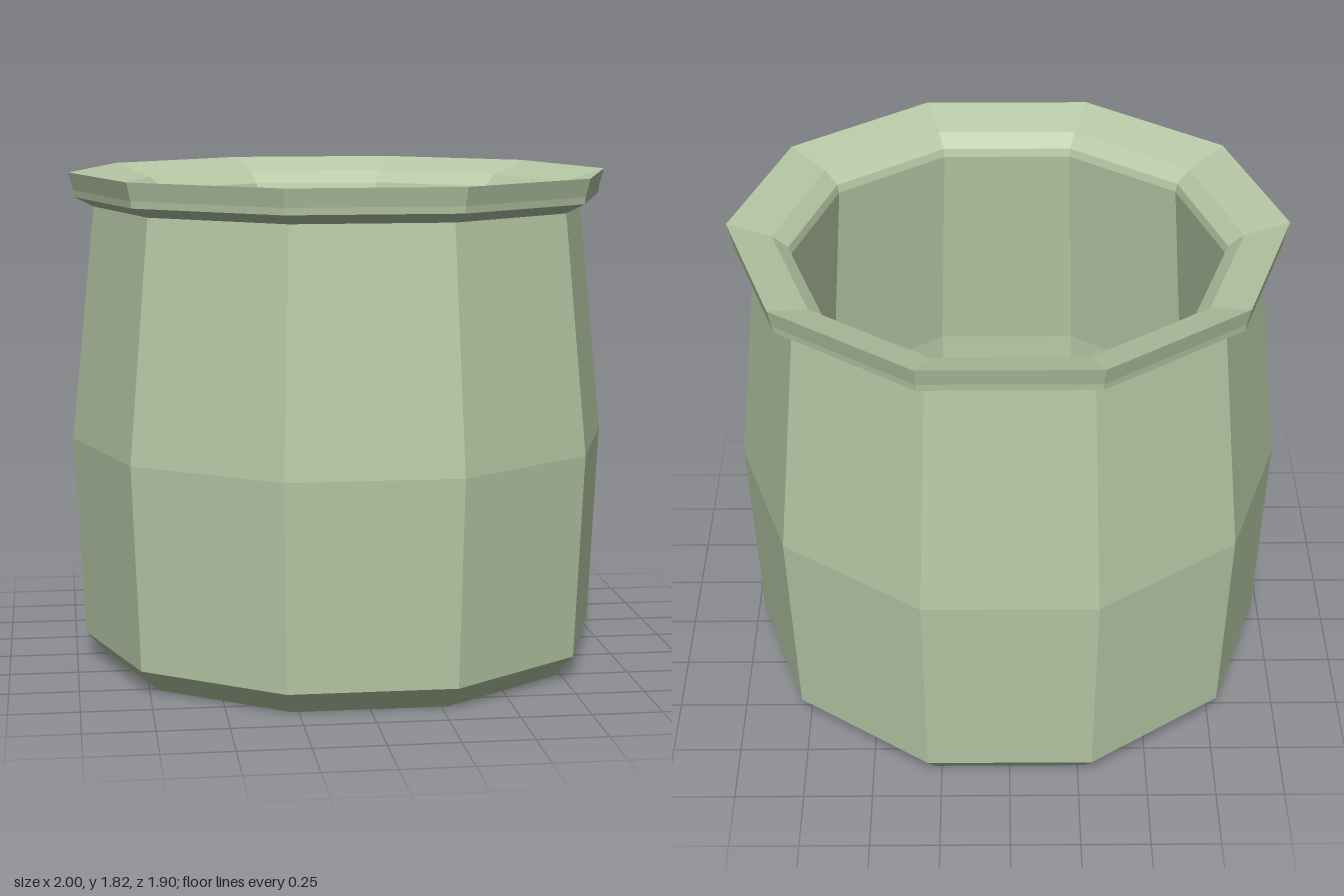
import * as THREE from 'three';

const SIDES = 10;

// Ten-sided faceted ring turned from a [radius, height] profile, with corners on the x axis.
function turned(name, profile, material) {
  const points = profile.map(([r, y]) => new THREE.Vector2(r, y));
  const mesh = new THREE.Mesh(new THREE.LatheGeometry(points, SIDES, Math.PI / 2), material);
  mesh.name = name;
  return mesh;
}

export function createModel() {
  const group = new THREE.Group();
  group.name = 'pot';
  const glaze = new THREE.MeshStandardMaterial({ color: 0xb6c8a5, flatShading: true });

  // Closed base, bevelled foot and bulging outer wall
  group.add(turned('body', [[0, 0], [0.885, 0], [0.965, 0.085], [1, 0.83], [0.91, 1.69]], glaze));

  // Flared lip, dished inwards to the neck
  group.add(turned('rim', [[0.91, 1.69], [0.98, 1.725], [0.983, 1.75], [1, 1.815], [0.84, 1.765], [0.785, 1.72]], glaze));

  // Hollow inner wall and floor
  group.add(turned('interior', [[0.785, 1.72], [0.777, 1.69], [0.85, 0.83], [0.82, 0.12], [0, 0.12]], glaze));

  return group;
}
